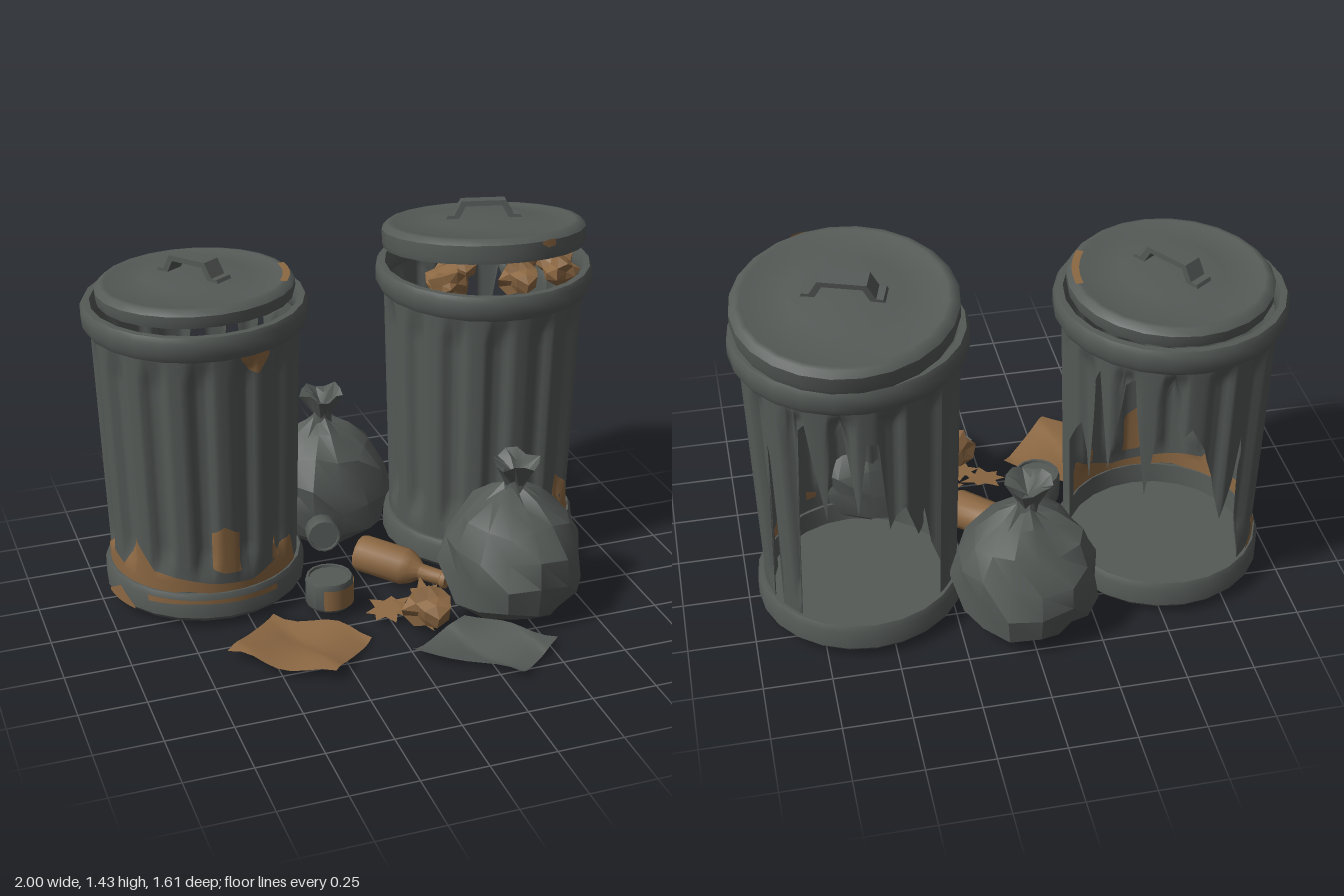
import * as THREE from 'three';
import { toCreasedNormals } from 'three/addons/utils/BufferGeometryUtils.js';

const rad = THREE.MathUtils.degToRad;
const V2 = (p) => new THREE.Vector2(p[0], p[1]);

export function createModel() {
  const model = new THREE.Group();
  const grey = new THREE.MeshStandardMaterial({ color: 0x555a57, side: THREE.DoubleSide });
  grey.name = 'dullGrey';
  const brown = new THREE.MeshStandardMaterial({ color: 0x8c6843, side: THREE.DoubleSide });
  brown.name = 'rustBrown';

  function add(parent, name, geo, mat, x = 0, y = 0, z = 0) {
    const m = new THREE.Mesh(geo, mat);
    m.name = name;
    m.position.set(x, y, z);
    parent.add(m);
    return m;
  }
  const lathe = (pts, seg = 24, crease = 0.7) =>
    toCreasedNormals(new THREE.LatheGeometry(pts.map(V2), seg), crease);

  // Curved sheet around the y axis; controls are [degrees, low y, high y]
  function shell(controls, radius, rows) {
    const cols = [];
    controls.forEach((c, i) => {
      const n = controls[i + 1];
      if (!n) return cols.push(c);
      const steps = Math.max(1, Math.ceil((n[0] - c[0]) / 2.5));
      for (let k = 0; k < steps; k++) cols.push(c.map((v, a) => v + (n[a] - v) * k / steps));
    });
    const pos = [], index = [];
    cols.forEach(([deg, lo, hi], i) => {
      for (let j = 0; j <= rows; j++) {
        const y = lo + (hi - lo) * j / rows, a = rad(deg), r = radius(a, y);
        pos.push(r * Math.cos(a), y, -r * Math.sin(a));
        if (i && j) {
          const q = i * (rows + 1) + j, p = q - rows - 1;
          index.push(p - 1, q - 1, q, p - 1, q, p);
        }
      }
    });
    const g = new THREE.BufferGeometry();
    g.setAttribute('position', new THREE.Float32BufferAttribute(pos, 3));
    g.setIndex(index);
    g.computeVertexNormals();
    return g;
  }

  // Fluted wall: grooves fade out towards both ends
  const step = THREE.MathUtils.smoothstep;
  const wall = (a, y) => 0.361 + 0.028 * (y - 0.14)
    - 0.026 * step(Math.cos(14 * a), -0.3, 0.8) * step(y, 0.2, 0.27) * (1 - step(y, 1.02, 1.1));

  // Bin: base pan, torn wall, rim and rust
  function bin(name, x, z, tear, rust, baseRust) {
    const g = new THREE.Group();
    g.name = name;
    g.position.set(x, 0, z);
    model.add(g);
    add(g, 'basePan', lathe([[0, 0.025], [0.37, 0.025], [0.387, 0.045], [0.387, 0.12], [0.375, 0.142],
      [0.352, 0.142], [0.345, 0.06], [0, 0.06]]), grey);
    add(g, 'rim', lathe([[0.385, 1.1], [0.408, 1.105], [0.421, 1.13], [0.421, 1.18], [0.41, 1.2],
      [0.385, 1.2], [0.374, 1.17], [0.376, 1.12], [0.385, 1.1]]), grey);
    const open = tear.map(([d, lo]) => [d, lo, 1.13]);
    add(g, 'tornWall', shell([...open, [open[0][0] + 360, 0.1, 1.13]], wall, 18), grey);
    for (const patch of rust)
      for (const off of [0.005, -0.005])
        add(g, 'rustPatch', shell(patch, (a, y) => wall(a, y) + off, 5), brown);
    for (const patch of baseRust) add(g, 'baseRust', shell(patch, () => 0.39, 1), brown);
    return g;
  }
  const leftBin = bin('leftBin', -0.58, -0.28,
    [[8, 0.1], [8.1, 0.62], [20, 0.75], [24, 0.5], [30, 0.95], [36, 1.04], [42, 0.62], [50, 1], [56, 1.04],
      [64, 0.55], [72, 0.95], [77, 1.03], [82, 0.8], [88, 0.85], [96, 0.75], [104, 0.6], [110, 0.4],
      [116, 0.55], [120, 0.75], [126, 0.5], [130, 0.15], [130.1, 0.1]],
    [
      [[140, 0.13, 0.15], [152, 0.13, 0.24], [165, 0.13, 0.17], [180, 0.13, 0.24], [200, 0.13, 0.2],
        [212, 0.13, 0.34], [225, 0.13, 0.22], [245, 0.15, 0.2], [262, 0.14, 0.18], [285, 0.14, 0.17],
        [300, 0.13, 0.21], [318, 0.13, 0.28], [326, 0.13, 0.15]],
      [[261, 0.24, 0.39], [268, 0.22, 0.42], [278, 0.22, 0.38]],
      [[300, 0.22, 0.28], [307, 0.22, 0.3]],
      [[280, 1.09, 1.11], [287, 1.03, 1.12], [291, 1.02, 1.12], [298, 1.08, 1.12]],
    ],
    [[[185, 0.04, 0.05], [200, 0.04, 0.11], [212, 0.04, 0.05]],
      [[222, 0.1, 0.125], [250, 0.11, 0.125], [300, 0.1, 0.125]]]);
  const rightBin = bin('rightBin', 0.575, -0.28,
    [[22, 0.1], [22.1, 0.5], [26, 0.85], [31, 0.6], [31.1, 0.1], [46, 0.1], [48, 0.6], [52, 0.98], [58, 1.03],
      [67, 0.63], [71, 0.95], [77, 1.03], [84, 0.65], [90, 0.96], [96, 0.95], [102, 0.55], [110, 0.65],
      [118, 0.5], [126, 0.58], [132, 0.4], [136, 0.3], [136.1, 0.1]],
    [
      [[303, 0.14, 0.19], [309, 0.14, 0.36], [317, 0.14, 0.31], [325, 0.14, 0.19], [335, 0.14, 0.17]],
      [[290, 0.2, 0.22], [297, 0.2, 0.24]],
    ], []);

  // Lid: domed pan with a strap handle, tilted up at the front
  function lid(bin, R, h, x, y, z, tiltX, tiltZ, handleTurn) {
    const g = new THREE.Group();
    g.name = 'lid';
    g.position.set(x, y, z);
    g.rotation.set(tiltX, 0, tiltZ);
    bin.add(g);
    add(g, 'lidPan', lathe([[R - 0.03, 0.004], [R - 0.005, 0], [R, 0.02], [R, h - 0.02], [R - 0.02, h],
      [R * 0.9, h + 0.002], [R * 0.86, h - 0.006], [R * 0.5, h + 0.012], [0, h + 0.018]]), grey);
    const strap = new THREE.Shape([[-0.15, 0], [-0.14, 0.02], [-0.115, 0.02], [-0.085, 0.075], [0.085, 0.075],
      [0.115, 0.02], [0.14, 0.02], [0.15, 0], [0.1, 0], [0.07, 0.055], [-0.07, 0.055], [-0.1, 0]].map(V2));
    const geo = new THREE.ExtrudeGeometry(strap, { depth: 0.075, bevelEnabled: false }).translate(0, 0, -0.037);
    add(g, 'lidHandle', geo, grey, 0, h + 0.006, 0).rotation.y = handleTurn;
    return g;
  }
  const leftLid = lid(leftBin, 0.37, 0.065, 0.005, 1.205, 0, -0.04, 0.01, -0.96);
  const rightLid = lid(rightBin, 0.395, 0.09, 0.01, 1.255, -0.03, -0.145, -0.02, -0.31);
  const lidRust = new THREE.RingGeometry(0.325, 0.352, 10, 1, rad(-32), rad(36)).rotateX(-Math.PI / 2);
  add(leftLid, 'lidRust', lidRust, brown, 0, 0.07, 0);
  add(rightLid, 'lidRust', shell([[281, 0.06, 0.07], [285, 0.045, 0.075], [290, 0.05, 0.075]], () => 0.398, 1), brown);

  // Crumpled lump: icosphere pushed in and out by a rule
  function lump(parent, name, x, y, z, sx, sy, sz, seed) {
    const geo = new THREE.IcosahedronGeometry(1, 1), p = geo.attributes.position;
    const v = new THREE.Vector3();
    for (let i = 0; i < p.count; i++) {
      v.fromBufferAttribute(p, i);
      const k = 0.85 + 0.25 * Math.sin(v.x * 7.3 + v.y * 11.1 + v.z * 5.7 + seed * 2.1);
      p.setXYZ(i, v.x * k * sx, v.y * k * sy, v.z * k * sz);
    }
    geo.computeVertexNormals();
    return add(parent, name, geo, brown, x, y, z);
  }
  [[-0.24, 1.2, 0.2, 0.09, 0.07, 0.09], [0.04, 1.21, 0.25, 0.08, 0.07, 0.08], [0.24, 1.2, 0.17, 0.08, 0.07, 0.09],
    [0.18, 1.19, -0.05, 0.1, 0.06, 0.1], [-0.1, 1.18, -0.02, 0.09, 0.06, 0.08]]
    .forEach((a, i) => lump(rightBin, 'binRubbish', ...a, i));
  lump(model, 'crumpledPaper', 0.11, 0.11, 0.38, 0.1, 0.085, 0.1, 7);

  // Tied rubbish bags
  function bag(name, x, z, s, seed) {
    const prof = [[0, 0.02], [0.19, 0.02], [0.255, 0.08], [0.275, 0.19], [0.255, 0.29], [0.2, 0.39], [0.11, 0.46],
      [0.04, 0.5], [0.037, 0.525], [0.09, 0.61], [0.05, 0.585], [0, 0.55]];
    const geo = new THREE.LatheGeometry(prof.map(V2), 14), p = geo.attributes.position;
    for (let i = 0; i < p.count; i++) {
      const j = i % prof.length, t = Math.atan2(p.getZ(i), p.getX(i));
      const k = s * (1 + 0.05 * Math.sin(3 * t + j * 1.7 + seed) + 0.045 * Math.sin(5 * t - j * 2.3 + seed));
      const lift = j > 1 && j !== 11 ? 0.014 * Math.sin(4 * t + j + seed) : 0;
      p.setXYZ(i, p.getX(i) * k, p.getY(i) + lift, p.getZ(i) * k);
    }
    add(model, name, toCreasedNormals(geo, 0.5), grey, x, 0, z);
  }
  bag('backBag', -0.01, -0.53, 0.98, 1);
  bag('frontBag', 0.49, 0.28, 1.0, 4);

  // Loose sheets: wavy grid stretched between four corners [x, z]
  function sheet(name, mat, a, b, c, d, seed) {
    const geo = new THREE.PlaneGeometry(1, 1, 8, 8), p = geo.attributes.position;
    for (let i = 0; i < p.count; i++) {
      const u = p.getX(i) + 0.5, v = 0.5 - p.getY(i);
      const at = (k) => (a[k] * (1 - u) + b[k] * u) * (1 - v) + (d[k] * (1 - u) + c[k] * u) * v;
      const wob = 0.014 * Math.sin(9 * u + 7 * v + seed);
      p.setXYZ(i, at(0) + wob, 0.025 + 0.016 * Math.sin(5 * u + seed) + 0.009 * Math.sin(8 * v + 3 * u), at(1) - wob);
    }
    geo.computeVertexNormals();
    add(model, name, geo, mat);
  }
  sheet('brownSheet', brown, [-0.67, 0.34], [-0.41, 0.1], [-0.1, 0.36], [-0.34, 0.61], 1);
  sheet('greySheet', grey, [-0.01, 0.52], [0.26, 0.38], [0.53, 0.63], [0.32, 0.8], 3);

  // Dry leaves
  [[0, 0.24, 0.3], [0.16, 0.21, 1.4], [0.09, 0.31, 2.2]].forEach(([x, z, turn]) => {
    const pts = [];
    for (let i = 0; i < 14; i++) {
      const r = i % 2 ? 0.06 : 0.1 + 0.02 * Math.sin(i * 2 + turn), a = i * Math.PI / 7;
      pts.push(new THREE.Vector2(r * Math.cos(a), 0.75 * r * Math.sin(a)));
    }
    const leaf = add(model, 'leaf', new THREE.ShapeGeometry(new THREE.Shape(pts)).rotateX(-Math.PI / 2), brown, x, 0.04, z);
    leaf.rotation.set(0.12, turn, 0.1);
  });

  // Bottle lying on its side
  const bottle = add(model, 'bottle', lathe([[0, 0], [0.068, 0], [0.074, 0.015], [0.074, 0.2], [0.06, 0.235],
    [0.032, 0.27], [0.03, 0.36], [0.036, 0.365], [0.036, 0.385], [0, 0.385]], 12), brown, 0.01, 0.09, -0.12);
  bottle.quaternion.setFromUnitVectors(new THREE.Vector3(0, 1, 0), new THREE.Vector3(0.68, -0.06, 0.73).normalize());

  // Cans: one standing with a label, one tipped over
  const can = (r, h) => lathe([[0, 0.006], [r * 0.9, 0], [r, 0.012], [r, h - 0.012], [r * 0.95, h],
    [r * 0.86, h], [r * 0.84, h - 0.01], [0, h - 0.01]], 14);
  const standing = add(model, 'standingCan', can(0.092, 0.12), grey, -0.19, 0.025, 0.1);
  add(standing, 'canLabel', shell([[240, 0.015, 0.1], [370, 0.015, 0.1]], () => 0.095, 1), brown);
  const tipped = add(model, 'tippedCan', can(0.066, 0.09), grey, -0.11, 0.15, -0.25);
  tipped.rotation.set(1.45, 0, 0.15);

  return model;
}
